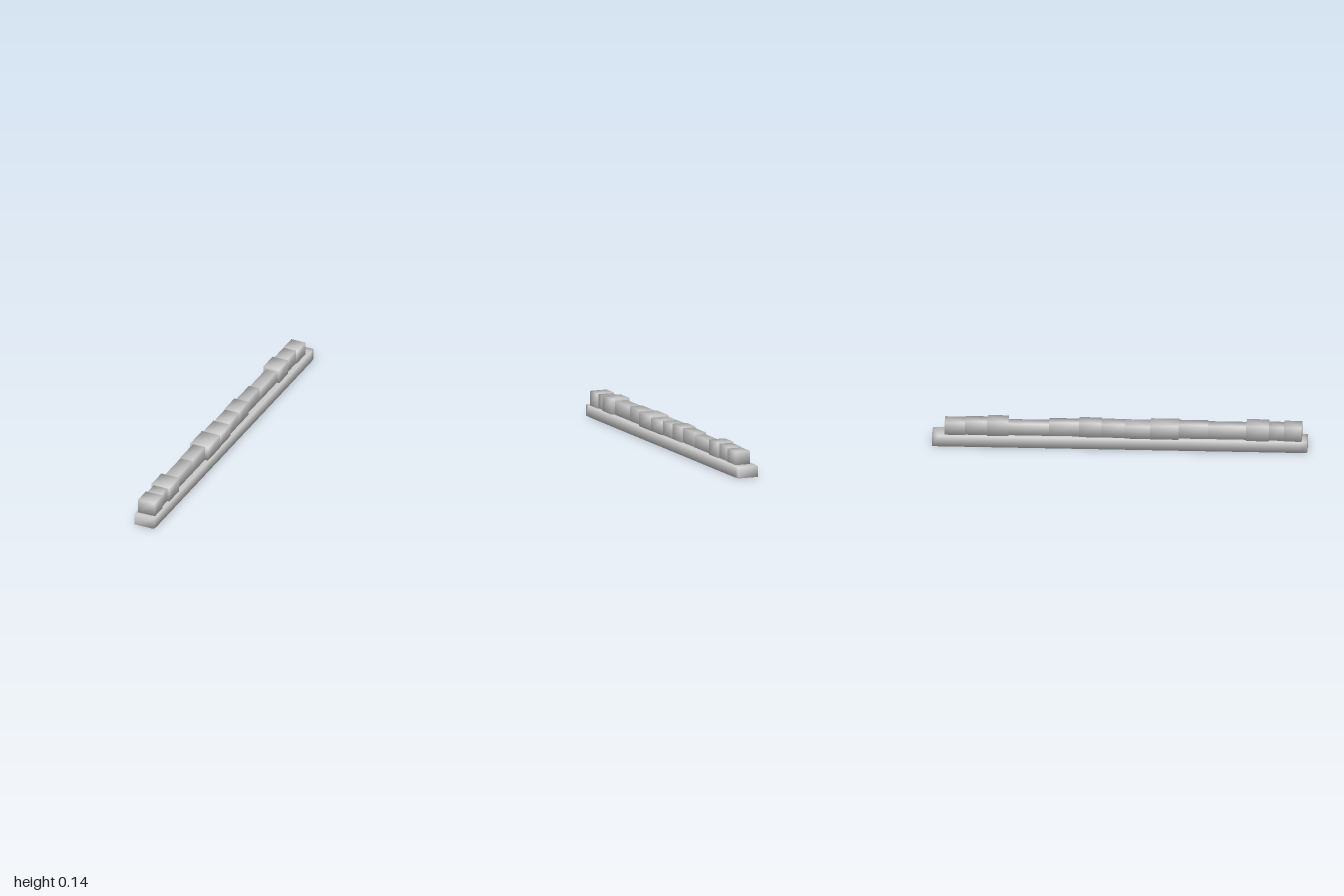
import * as THREE from 'three';
import { mergeVertices } from 'three/addons/utils/BufferGeometryUtils.js';

const material = new THREE.MeshStandardMaterial({ color: 0xcccccc });
const BASE_TOP = 0.06;

// Share the corners so the normals blend softly around each box
function soften(geometry) {
  geometry.deleteAttribute('normal');
  geometry.deleteAttribute('uv');
  const welded = mergeVertices(geometry);
  welded.computeVertexNormals();
  return welded;
}

// Long bar whose ends narrow very slightly
function makeBase() {
  const geometry = new THREE.BoxGeometry(0.12, BASE_TOP, 2, 1, 1, 3);
  const p = geometry.attributes.position;
  for (let i = 0; i < p.count; i++) {
    if (Math.abs(p.getZ(i)) > 0.9) p.setX(i, p.getX(i) * 0.96);
    else p.setZ(i, Math.sign(p.getZ(i)) * 0.965);
  }
  const base = new THREE.Mesh(soften(geometry), material);
  base.name = 'base';
  base.position.y = BASE_TOP / 2;
  return base;
}

// Row of blocks from front to back: [back edge z, half width, top y]
const FRONT_EDGE = 0.97;
const BLOCKS = [
  [0.875, 0.049, 0.139], [0.795, 0.04, 0.136], [0.674, 0.052, 0.143],
  [0.471, 0.035, 0.134], [0.314, 0.035, 0.139], [0.163, 0.053, 0.137],
  [0.027, 0.05, 0.13], [-0.097, 0.041, 0.135], [-0.217, 0.041, 0.141],
  [-0.377, 0.031, 0.137], [-0.593, 0.032, 0.126], [-0.706, 0.046, 0.141],
  [-0.823, 0.037, 0.137], [-0.933, 0.042, 0.131],
];

export function createModel() {
  const model = new THREE.Group();
  model.name = 'blockStrip';
  model.add(makeBase());

  let front = FRONT_EDGE;
  BLOCKS.forEach(([back, halfWidth, top], i) => {
    const height = top - BASE_TOP;
    const block = new THREE.Mesh(
      soften(new THREE.BoxGeometry(halfWidth * 2, height, front - back)), material);
    block.name = `block${i + 1}`;
    block.position.set(0, BASE_TOP + height / 2, (front + back) / 2);
    model.add(block);
    front = back;
  });
  return model;
}
